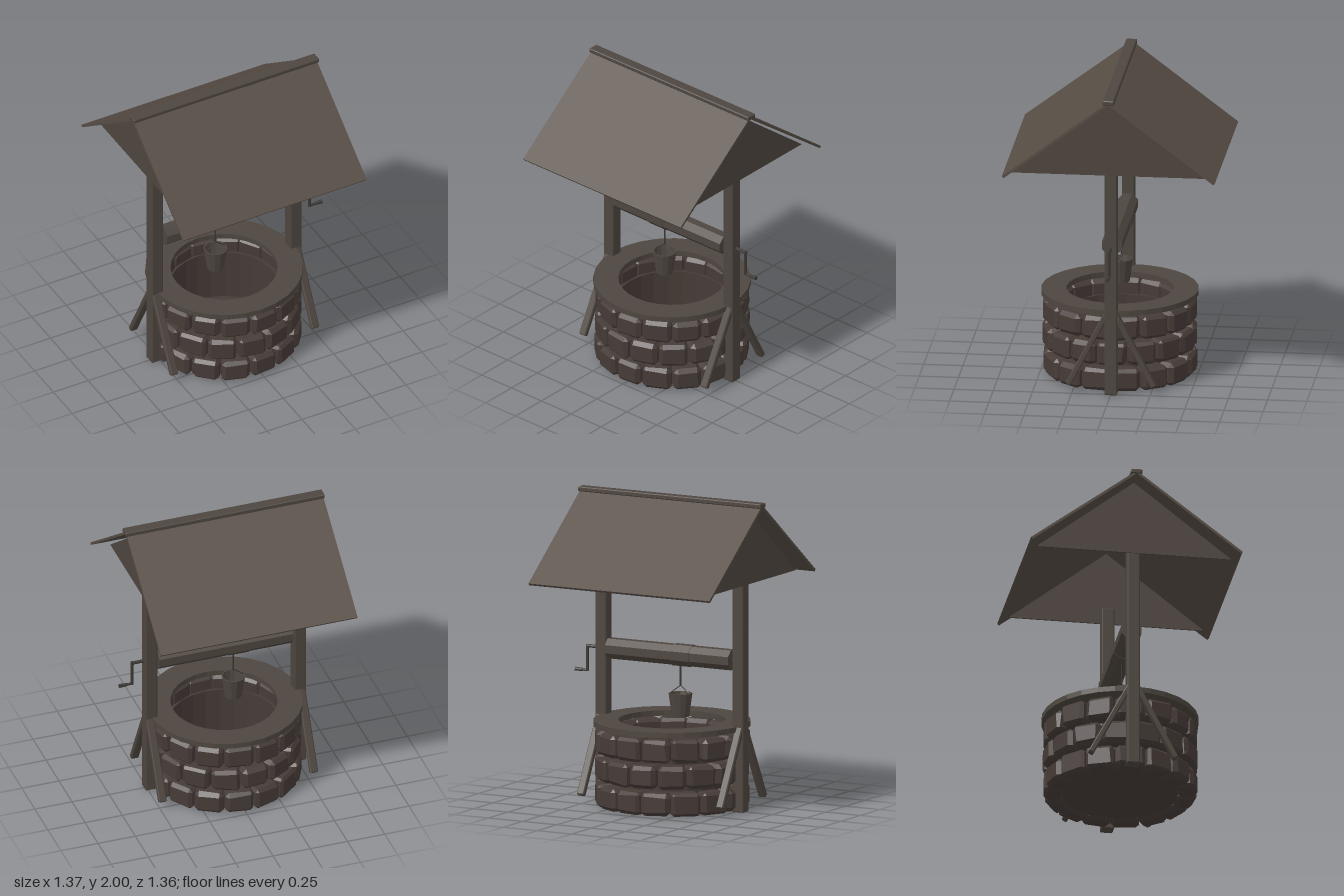
import * as THREE from 'three';
import { ConvexGeometry } from 'three/addons/geometries/ConvexGeometry.js';

const paint = (name, color, side = THREE.FrontSide) => {
  const m = new THREE.MeshStandardMaterial({ color, flatShading: true, side });
  m.name = name;
  return m;
};

export function createModel() {
  const root = new THREE.Group();
  root.name = 'well';
  const well = new THREE.Group();
  well.name = 'wellParts';
  well.position.x = -0.02;
  root.add(well);

  const shingle = paint('roofWood', 0x564c44);
  const wood = paint('wood', 0x4e463f);
  const gableWood = paint('gableWood', 0x4e453e, THREE.DoubleSide);
  const stone = paint('stone', 0x463b37);
  const iron = paint('iron', 0x3c3835);
  const ropeMat = paint('rope', 0x3a3531);

  let seed = 7;
  const rand = () => (seed = (seed * 16807) % 2147483647) / 2147483647;

  const add = (name, geometry, material, x = 0, y = 0, z = 0, parent = well) => {
    const mesh = new THREE.Mesh(geometry, material);
    mesh.name = name;
    mesh.position.set(x, y, z);
    parent.add(mesh);
    return mesh;
  };

  // Box with cut corners and edges
  const chamferBox = (w, h, d, c, jitter = 0) => {
    const pts = [];
    for (const sx of [-1, 1]) for (const sy of [-1, 1]) for (const sz of [-1, 1]) {
      const k = c * (1 + jitter * (rand() - 0.5));
      const x = w / 2, y = h / 2, z = d / 2;
      pts.push(
        new THREE.Vector3(sx * x, sy * (y - k), sz * (z - k)),
        new THREE.Vector3(sx * (x - k), sy * y, sz * (z - k)),
        new THREE.Vector3(sx * (x - k), sy * (y - k), sz * z));
    }
    return new ConvexGeometry(pts);
  };

  // Round bar between two points
  const rod = (name, a, b, r, material, rEnd = r, sides = 8) => {
    const from = new THREE.Vector3(...a), to = new THREE.Vector3(...b);
    const dir = to.clone().sub(from);
    const mesh = add(name, new THREE.CylinderGeometry(rEnd, r, dir.length(), sides), material);
    mesh.position.copy(from).addScaledVector(dir, 0.5);
    mesh.quaternion.setFromUnitVectors(new THREE.Vector3(0, 1, 0), dir.normalize());
    return mesh;
  };

  const lathe = (points, sides) =>
    new THREE.LatheGeometry(points.map(p => new THREE.Vector2(...p)), sides);

  // Inner wall with floor
  add('innerWall', lathe([[0, 0.03], [0.37, 0.03], [0.37, 0.4], [0.35, 0.4], [0.35, 0.05], [0, 0.05]], 24), stone);

  // Three staggered courses of stones
  const courses = new THREE.Group();
  courses.name = 'stones';
  well.add(courses);
  const count = 15;
  [0.083, 0.255, 0.425].forEach((y, row) => {
    for (let i = 0; i < count; i++) {
      const angle = ((i + (row === 1 ? -0.25 : 0.2)) / count) * Math.PI * 2;
      const w = 0.182 + (rand() - 0.5) * 0.012;
      const h = 0.146 + (rand() - 0.5) * 0.008;
      const r = 0.422 + (rand() - 0.5) * 0.008;
      const block = add('stone', chamferBox(w, h, 0.125, 0.022, 0.6), stone,
        Math.sin(angle) * r, y, Math.cos(angle) * r, courses);
      block.rotation.y = angle;
    }
  });

  // Flat ring on top of the wall
  add('rim', lathe([[0.34, 0.52], [0.5, 0.52], [0.5, 0.555], [0.34, 0.555], [0.34, 0.52]], 28), wood);

  // Posts, braces and gables
  const gable = new THREE.Shape();
  gable.moveTo(-0.627, 1.467);
  gable.lineTo(0.627, 1.467);
  gable.lineTo(0, 1.957);
  gable.closePath();
  const gableGeometry = new THREE.ExtrudeGeometry(gable, { depth: 0.01, bevelEnabled: false });
  gableGeometry.translate(0, 0, -0.005).rotateY(Math.PI / 2);
  for (const s of [-1, 1]) {
    add('post', chamferBox(0.08, 1.54, 0.08, 0.006), wood, s * 0.5, 0.775, 0);
    add('gable', gableGeometry, gableWood, s * 0.54, 0, 0);
    for (const f of [-1, 1]) {
      const brace = add('brace', chamferBox(0.052, 0.57, 0.035, 0.006), wood, s * 0.508, 0.317, f * 0.142);
      brace.rotation.x = -f * 0.48;
    }
  }

  // Roof slopes and ridge
  const pitch = Math.atan2(0.515, 0.68);
  for (const f of [-1, 1]) {
    const slope = add('roofSlope', new THREE.BoxGeometry(1.32, 0.016, 0.853), shingle, 0, 1.726, f * 0.335);
    slope.rotation.x = f * pitch;
  }
  add('ridge', chamferBox(1.335, 0.03, 0.07, 0.005), wood, 0.002, 1.985, 0);

  // Winding drum, turned so that flats face up and front
  const drum = (name, x0, x1, r, material) => {
    const g = new THREE.CylinderGeometry(r, r, x1 - x0, 8);
    g.rotateY(Math.PI / 8).rotateZ(Math.PI / 2);
    add(name, g, material, (x0 + x1) / 2, 0.976, 0);
  };
  drum('drum', -0.445, 0.455, 0.069, wood);
  drum('ropeCoil', -0.155, -0.02, 0.073, wood);

  // Crank
  rod('axle', [-0.5, 0.976, 0], [0.623, 0.976, 0], 0.011, iron);
  rod('crankArm', [0.617, 0.985, 0], [0.617, 0.815, 0], 0.01, iron);
  rod('crankPin', [0.61, 0.82, 0], [0.66, 0.82, 0], 0.008, iron);
  rod('crankHandle', [0.65, 0.82, 0], [0.705, 0.82, 0], 0.01, iron, 0.013);

  // Rope, bail and bucket
  const bx = -0.062;
  rod('rope', [bx, 0.92, 0], [bx, 0.775, 0], 0.005, ropeMat, 0.005, 6);
  for (const s of [-1, 1]) {
    rod('bail', [bx, 0.78, 0], [bx + s * 0.07, 0.728, 0], 0.003, ropeMat, 0.003, 6);
  }
  add('bucket', lathe([[0, 0.58], [0.055, 0.58], [0.076, 0.73], [0.067, 0.73], [0.048, 0.595], [0, 0.595]], 12),
    wood, bx, 0, 0);

  return root;
}
